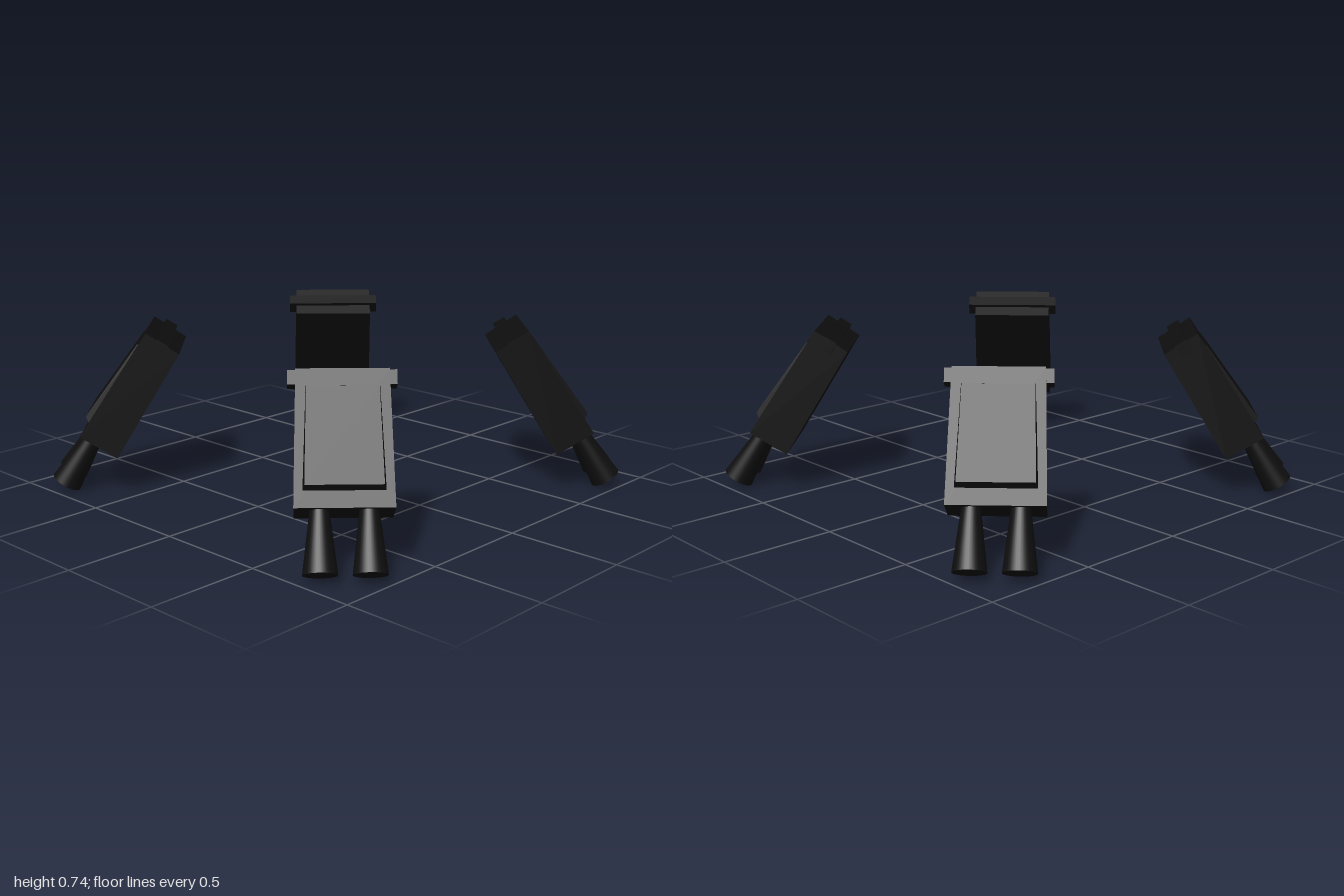
import * as THREE from 'three';

// Profile points are [out, y]: distance from the centre axis, and height
const A = [0.693, 0.645], B = [0.835, 0.74], C = [1.142, 0.275], D = [0.98, 0.175];

// A box whose corners are moved onto a four-point profile, each point with its half width
function wedge(topIn, topOut, botIn, botOut) {
  const g = new THREE.BoxGeometry(1, 1, 1).toNonIndexed();
  const p = g.attributes.position;
  for (let i = 0; i < p.count; i++) {
    const out = p.getZ(i) > 0;
    const c = p.getY(i) > 0 ? (out ? topOut : topIn) : (out ? botOut : botIn);
    p.setXYZ(i, Math.sign(p.getX(i)) * c[2], c[1], c[0]);
  }
  g.computeVertexNormals();
  return g;
}

// Point at fraction s down the outer face, lifted by h, with half width w
function onFace(s, h, w) {
  return [B[0] + (C[0] - B[0]) * s + h * 0.835, B[1] + (C[1] - B[1]) * s + h * 0.55, w];
}

function createPod(material) {
  const pod = new THREE.Group();
  const add = (name, geometry) => {
    const mesh = new THREE.Mesh(geometry, material);
    mesh.name = name;
    pod.add(mesh);
    return mesh;
  };

  // Slanted housing, slightly wider at the bottom
  add('housing', wedge([...A, 0.184], [...B, 0.184], [...D, 0.194], [...C, 0.194]));

  // Raised panel on the outer face, thicker towards the bottom
  add('outerPanel', wedge(
    onFace(0.12, -0.01, 0.148), onFace(0.13, 0.005, 0.143),
    onFace(0.89, -0.01, 0.162), onFace(0.85, 0.025, 0.152)));

  // Square hinge bar through the top end
  const bar = add('hingeBar', new THREE.BoxGeometry(0.434, 0.06, 0.06));
  bar.position.set(0, 0.68, 0.775);
  bar.rotation.x = -0.56;

  // Two flared nozzles
  const start = new THREE.Vector3(0, 0.265, 1.083);
  const end = new THREE.Vector3(0, 0.037, 1.225);
  const dir = end.clone().sub(start);
  for (const side of [-1, 1]) {
    const nozzle = add('nozzle', new THREE.CylinderGeometry(0.036, 0.068, dir.length(), 32));
    nozzle.position.copy(start).add(end).multiplyScalar(0.5);
    nozzle.position.x = side * 0.095;
    nozzle.quaternion.setFromUnitVectors(new THREE.Vector3(0, -1, 0), dir.clone().normalize());
  }
  return pod;
}

export function createModel() {
  const model = new THREE.Group();
  model.name = 'thrusterPods';
  const black = new THREE.MeshStandardMaterial({ color: 0x0e0e0e });
  black.name = 'black';

  // Four pods on the diagonals
  for (let i = 0; i < 4; i++) {
    const pod = createPod(black);
    pod.name = 'thrusterPod';
    pod.rotation.y = Math.PI / 4 + i * Math.PI / 2;
    model.add(pod);
  }
  return model;
}
